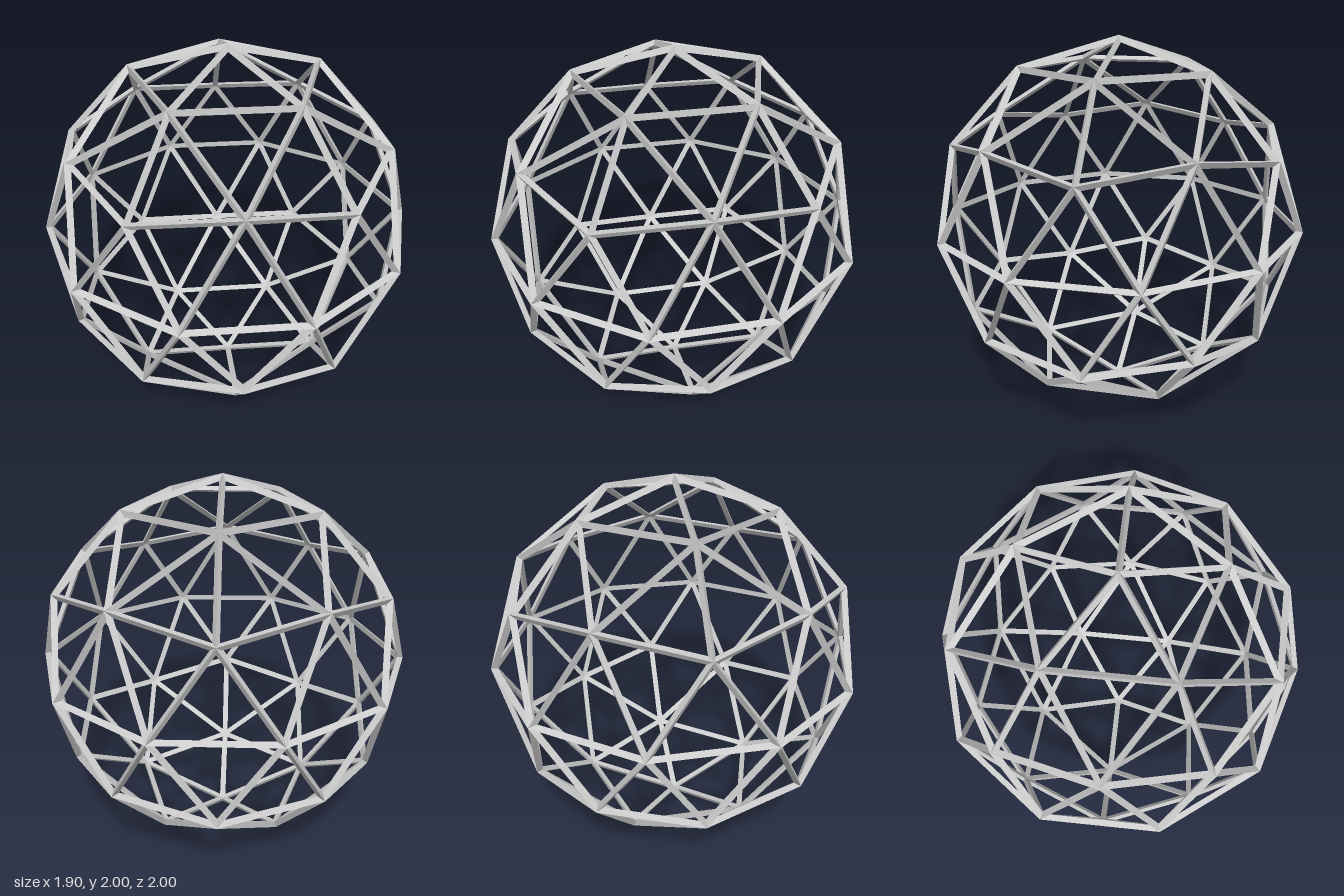
import * as THREE from 'three';

const RADIUS = 0.98;      // distance of the joints from the centre
const STRUT = 0.019;      // circumradius of the triangular strut section

// Corners of an icosahedron standing on one corner, plus its edge midpoints pushed onto the sphere
function makeJoints() {
  const corners = [new THREE.Vector3(0, 1, 0), new THREE.Vector3(0, -1, 0)];
  const h = 1 / Math.sqrt(5);
  for (let i = 0; i < 10; i++) {
    const a = (i * Math.PI) / 5;
    corners.push(new THREE.Vector3(2 * h * Math.cos(a), i % 2 ? -h : h, 2 * h * Math.sin(a)));
  }
  const joints = [...corners];
  corners.forEach((a, i) => {
    for (const b of corners.slice(i + 1)) {
      if (a.distanceTo(b) < 1.1) joints.push(a.clone().add(b).normalize());
    }
  });
  return joints.map((p) => p.multiplyScalar(RADIUS));
}

// Three-sided bar with its ridge facing outward and its ends mitred along the radii
function makeStrut(a, b, material) {
  const mid = a.clone().add(b).multiplyScalar(0.5);
  const along = b.clone().sub(a);
  const length = along.length();
  const geo = new THREE.CylinderGeometry(STRUT, STRUT, length, 3, 1).toNonIndexed();
  const pos = geo.attributes.position;
  for (let i = 0; i < pos.count; i++) {
    pos.setY(i, pos.getY(i) * (1 + pos.getZ(i) / mid.length()));
  }
  geo.computeVertexNormals();

  const yAxis = along.normalize();
  const zAxis = mid.clone().normalize();
  const xAxis = new THREE.Vector3().crossVectors(yAxis, zAxis);
  const mesh = new THREE.Mesh(geo, material);
  mesh.quaternion.setFromRotationMatrix(new THREE.Matrix4().makeBasis(xAxis, yAxis, zAxis));
  mesh.position.copy(mid);
  mesh.name = 'strut';
  return mesh;
}

export function createModel() {
  const grey = new THREE.MeshStandardMaterial({ color: 0xcccccc });
  grey.name = 'light grey';

  const model = new THREE.Group();
  model.name = 'geodesicSphere';
  const frame = new THREE.Group();
  frame.name = 'strutFrame';
  frame.position.y = 1;
  model.add(frame);

  // Join every pair of neighbouring joints
  const joints = makeJoints();
  joints.forEach((a, i) => {
    for (const b of joints.slice(i + 1)) {
      if (a.distanceTo(b) < 0.7) frame.add(makeStrut(a, b, grey));
    }
  });
  return model;
}
